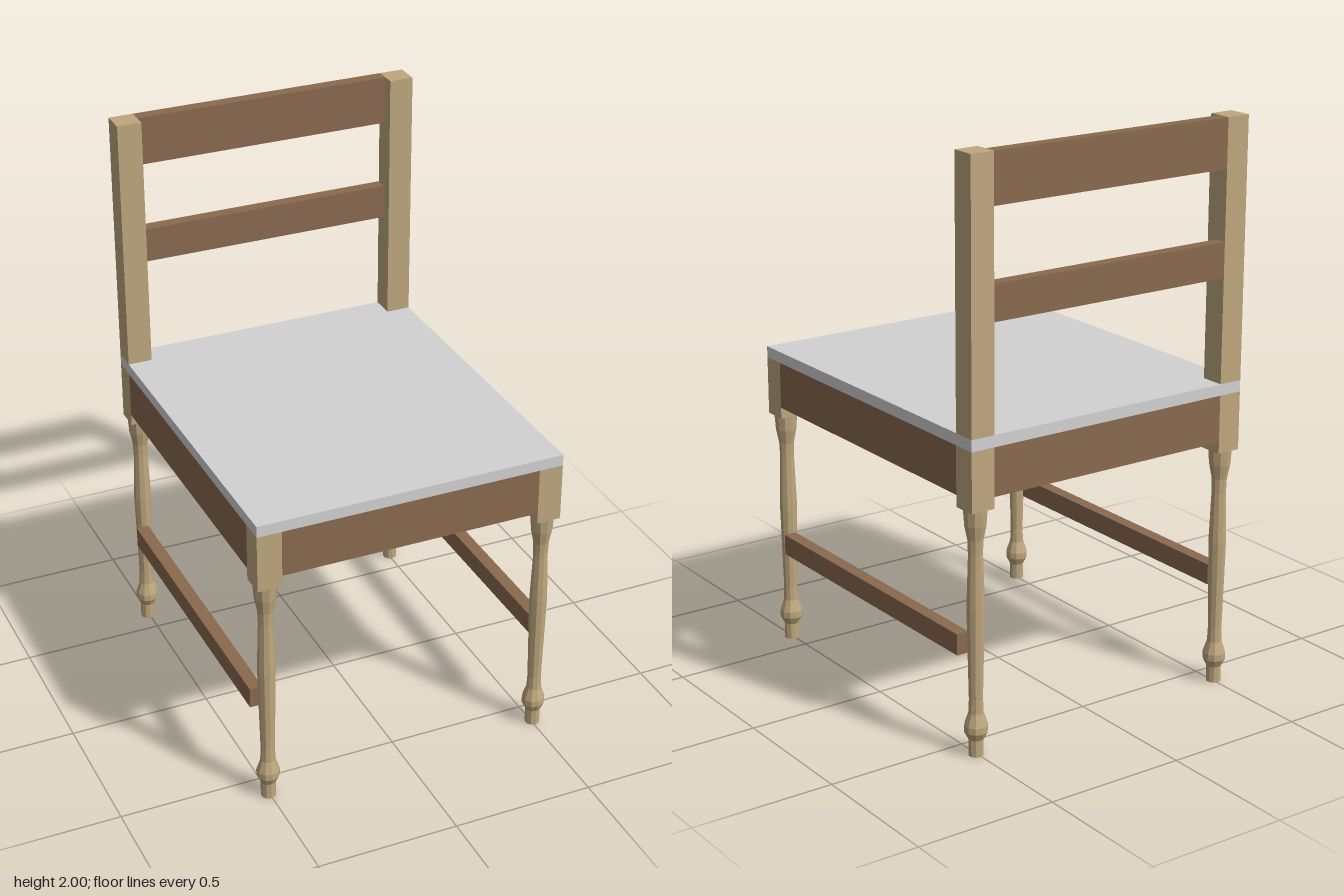
import * as THREE from 'three';

export function createModel() {
  const chair = new THREE.Group();
  chair.name = 'chair';
  const paleWood = new THREE.MeshStandardMaterial({ name: 'paleWood', color: 0xbfa77e });
  const brownWood = new THREE.MeshStandardMaterial({ name: 'brownWood', color: 0x8a6a4f });
  const seatGrey = new THREE.MeshStandardMaterial({ name: 'seatGrey', color: 0xd2d2d2 });

  const X = 0.547, Z = 0.632;      // outer half width and half depth
  const POST = 0.086, RAIL = 0.045; // post side, rail thickness
  const innerX = X - POST, innerZ = Z - POST;

  // Box given by its lower and upper corners
  function box(name, material, [x0, y0, z0], [x1, y1, z1]) {
    const mesh = new THREE.Mesh(new THREE.BoxGeometry(x1 - x0, y1 - y0, z1 - z0), material);
    mesh.position.set((x0 + x1) / 2, (y0 + y1) / 2, (z0 + z1) / 2);
    mesh.name = name;
    chair.add(mesh);
  }

  // Seat slab
  box('seat', seatGrey, [-X, 1.06, -Z], [X, 1.1, Z]);

  // Turned leg profile from foot to block
  const profile = [
    [0, 0], [0.026, 0], [0.026, 0.058], [0.04, 0.085], [0.04, 0.108], [0.026, 0.15],
    [0.024, 0.2], [0.028, 0.38], [0.031, 0.52], [0.025, 0.7], [0.027, 0.75],
    [0.037, 0.8], [0.041, 0.855],
  ].map(([r, y]) => new THREE.Vector2(r, y));
  const legGeometry = new THREE.LatheGeometry(profile, 10).toNonIndexed();
  legGeometry.computeVertexNormals();

  for (const sx of [1, -1]) {
    const side = sx > 0 ? 'left' : 'right';
    const x0 = sx > 0 ? innerX : -X, x1 = sx > 0 ? X : -innerX;

    // Turned legs with square corner blocks
    for (const sz of [1, -1]) {
      const end = sz > 0 ? 'Front' : 'Back';
      const z0 = sz > 0 ? innerZ : -Z, z1 = sz > 0 ? Z : -innerZ;
      box(`${side}${end}Block`, paleWood, [x0, 0.855, z0], [x1, 1.06, z1]);
      const leg = new THREE.Mesh(legGeometry, paleWood);
      leg.name = `${side}${end}Leg`;
      leg.position.set(sx * (X - POST / 2), 0, sz * (Z - POST / 2));
      chair.add(leg);
    }

    // Back post above the seat
    box(`${side}BackPost`, paleWood, [x0, 1.1, -Z], [x1, 2, -innerZ]);

    // Side apron and low stretcher, flush with the outside
    const r0 = sx > 0 ? X - RAIL : -X, r1 = r0 + RAIL;
    box(`${side}Apron`, brownWood, [r0, 0.895, -innerZ], [r1, 1.06, innerZ]);
    box(`${side}Stretcher`, brownWood, [r0, 0.345, -innerZ], [r1, 0.418, innerZ]);
  }

  // Front and back aprons
  box('frontApron', brownWood, [-innerX, 0.895, Z - RAIL], [innerX, 1.06, Z]);
  box('backApron', brownWood, [-innerX, 0.895, -Z], [innerX, 1.06, -Z + RAIL]);

  // Backrest slats
  box('topSlat', brownWood, [-innerX, 1.83, -Z], [innerX, 2, -Z + RAIL]);
  box('middleSlat', brownWood, [-innerX, 1.465, -Z], [innerX, 1.587, -Z + RAIL]);

  return chair;
}
